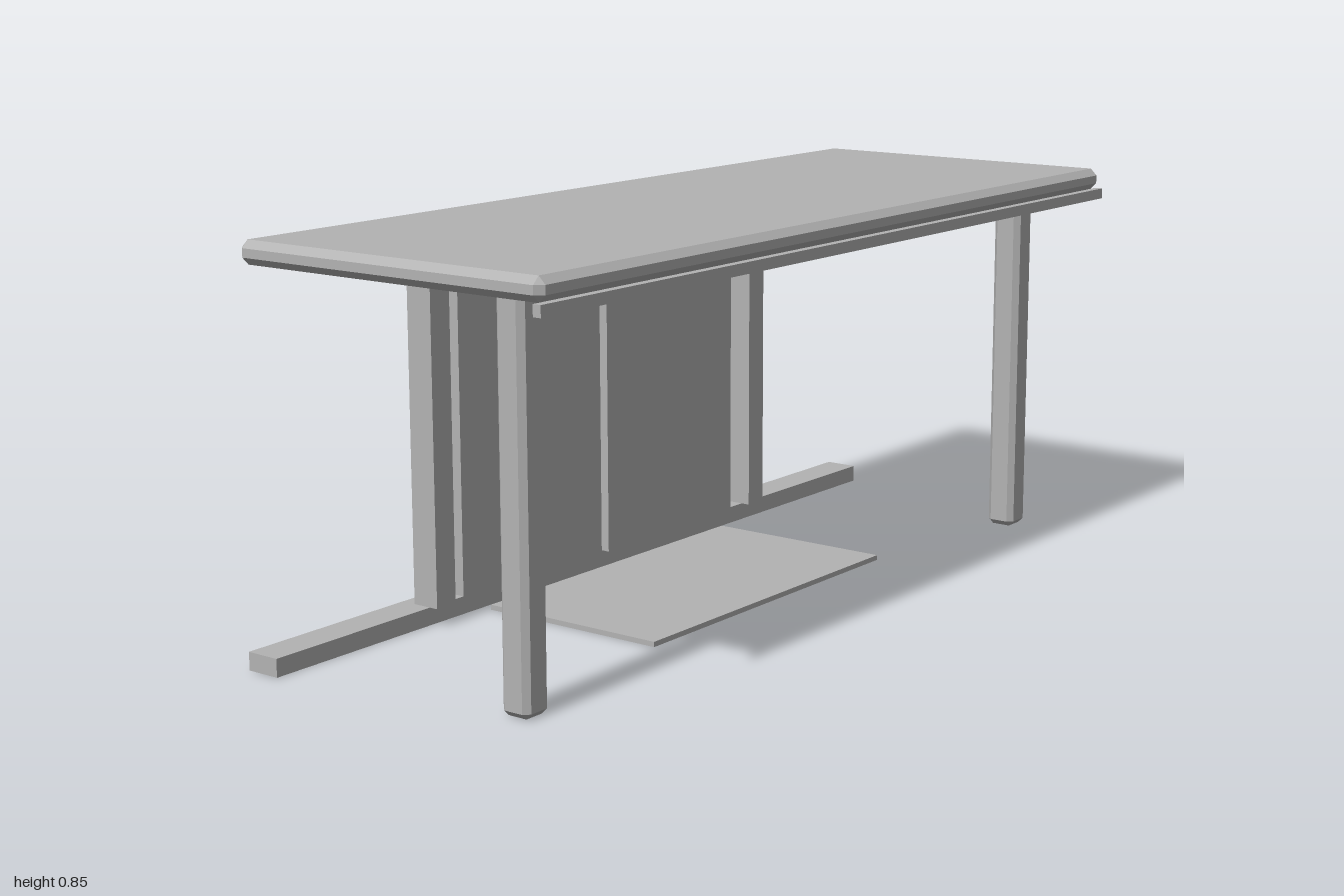
import * as THREE from 'three';
import { ConvexGeometry } from 'three/addons/geometries/ConvexGeometry.js';

// Box given by its lower and upper corners, optionally with chamfered edges
function block(name, material, [x0, y0, z0], [x1, y1, z1], chamfer = 0) {
  const half = [(x1 - x0) / 2, (y1 - y0) / 2, (z1 - z0) / 2];
  let geometry;
  if (chamfer > 0) {
    const points = [];
    for (const sx of [-1, 1]) for (const sy of [-1, 1]) for (const sz of [-1, 1]) {
      // each corner becomes three points, one on each adjoining face
      for (let face = 0; face < 3; face++) {
        const [x, y, z] = half.map((h, i) => (i === face ? h : h - chamfer));
        points.push(new THREE.Vector3(sx * x, sy * y, sz * z));
      }
    }
    geometry = new ConvexGeometry(points);
  } else {
    geometry = new THREE.BoxGeometry(...half.map((h) => h * 2));
  }
  const mesh = new THREE.Mesh(geometry, material);
  mesh.name = name;
  mesh.position.set((x0 + x1) / 2, (y0 + y1) / 2, (z0 + z1) / 2);
  return mesh;
}

export function createModel() {
  const model = new THREE.Group();
  model.name = 'counterTable';
  const grey = new THREE.MeshStandardMaterial({ color: 0xb3b3b3 });
  grey.name = 'grey';
  const add = (name, min, max, chamfer) => model.add(block(name, grey, min, max, chamfer));
  const cx = -0.004; // middle of the legs and frame

  // Table top with chamfered edges, and a thin rail under its front edge
  add('tableTop', [-0.997, 0.797, -0.372], [0.993, 0.845, 0.376], 0.015);
  add('frontRail', [-1, 0.775, 0.362], [1, 0.798, 0.38]);

  // Bar along the floor at the back
  add('backFloorBar', [-1, 0, -0.378], [1, 0.038, -0.302]);

  // Front legs and back frame posts
  for (const [side, s] of [['left', 1], ['right', -1]]) {
    const leg = cx + s * 0.871, post = cx + s * 0.543;
    add(side + 'FrontLeg', [leg - 0.034, 0, 0.188], [leg + 0.034, 0.797, 0.255], 0.012);
    add(side + 'BackPost', [post - 0.028, 0.04, -0.34], [post + 0.028, 0.797, -0.277]);
  }

  // Header between the posts, recessed back panel and its middle strip
  add('frameHeader', [cx - 0.515, 0.757, -0.34], [cx + 0.515, 0.797, -0.277]);
  add('backPanel', [cx - 0.469, 0.04, -0.322], [cx + 0.469, 0.757, -0.297]);
  add('middleStrip', [cx - 0.014, 0.04, -0.297], [cx + 0.014, 0.757, -0.277]);

  // Flat board on the floor
  add('floorBoard', [cx - 0.407, 0, -0.277], [cx + 0.407, 0.011, 0.159]);

  return model;
}
